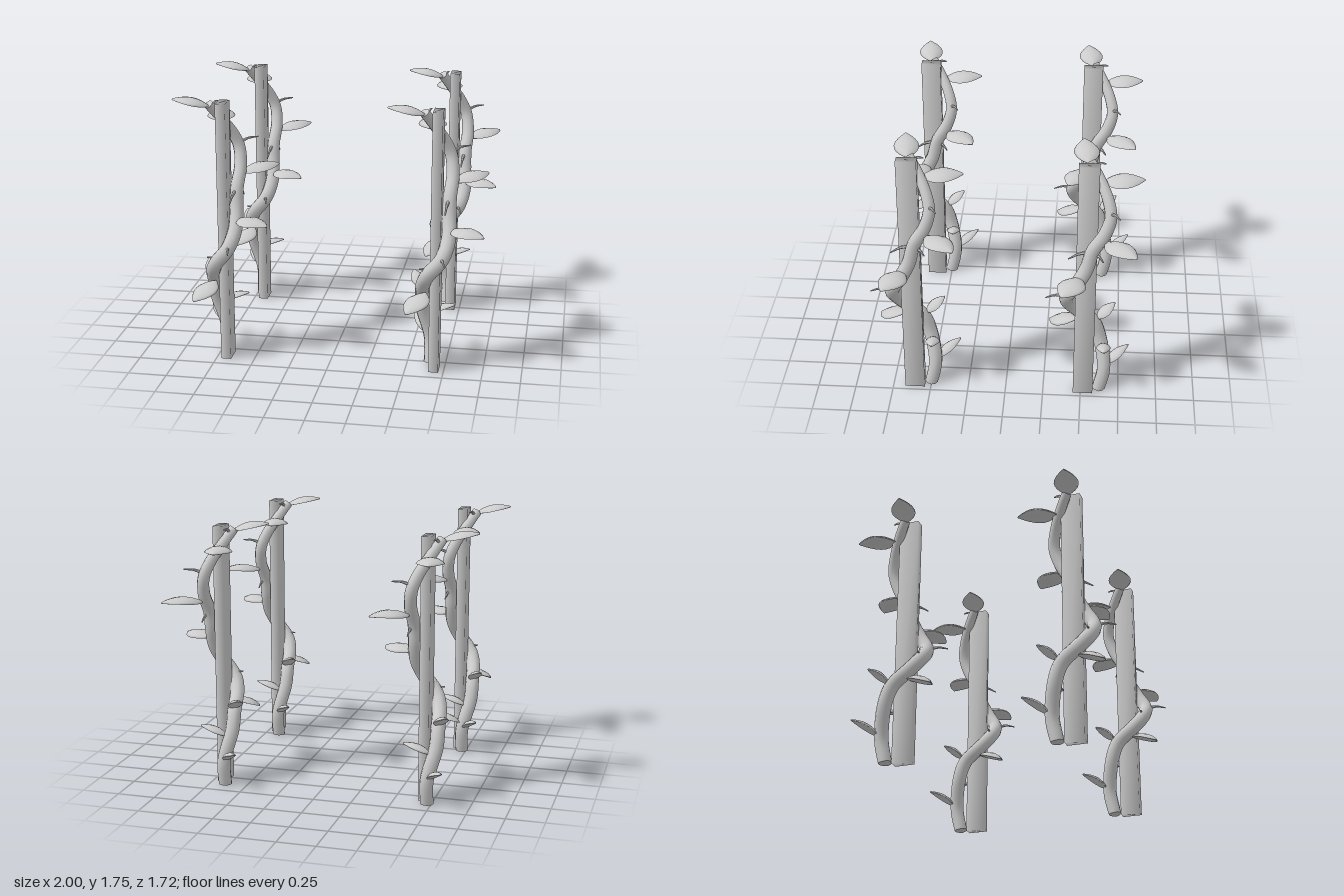
import * as THREE from 'three';
import { mergeVertices, toCreasedNormals } from 'three/addons/utils/BufferGeometryUtils.js';

const material = new THREE.MeshStandardMaterial({ color: 0xcccccc });
const V = (p) => new THREE.Vector3(...p);

function part(name, geometry) {
  const mesh = new THREE.Mesh(geometry, material);
  mesh.name = name;
  return mesh;
}

// Closed tube whose radius follows a rule along its length (t from 0 to 1)
function taperedTube(points, radiusAt, segments, sides) {
  const curve = new THREE.CatmullRomCurve3(points.map(V));
  const geo = new THREE.TubeGeometry(curve, segments, 1, sides);
  const pos = geo.attributes.position;
  const v = new THREE.Vector3();
  for (let i = 0; i < pos.count; i++) {
    const ring = Math.floor(i / (sides + 1));
    const own = curve.getPointAt(ring / segments);
    // the two outermost rings at each end form a flat cap
    const at = ring <= 1 ? 0 : ring >= segments - 1 ? 1 : ring / segments;
    const r = ring === 0 || ring === segments ? 0 : radiusAt(at);
    v.fromBufferAttribute(pos, i).sub(own).multiplyScalar(r).add(curve.getPointAt(at));
    pos.setXYZ(i, v.x, Math.max(0, v.y), v.z);
  }
  geo.deleteAttribute('uv');
  return toCreasedNormals(geo, 0.9);
}

// Pointed leaf blade: a flattened ball, arched along its length with drooping sides
function leafGeometry(base, tip, width) {
  const a = V(base);
  const along = V(tip).sub(a);
  const length = along.length();
  const z = along.clone().normalize();
  const x = new THREE.Vector3(0, 1, 0).cross(z).normalize();
  const y = z.clone().cross(x);
  const geo = new THREE.SphereGeometry(1, 12, 12);
  geo.rotateX(Math.PI / 2);
  const pos = geo.attributes.position;
  for (let i = 0; i < pos.count; i++) {
    const t = (pos.getZ(i) + 1) / 2;
    const ring = Math.max(1e-4, Math.sqrt(Math.max(0, 1 - pos.getZ(i) ** 2)));
    const side = pos.getX(i) / ring;
    const outline = Math.pow(Math.max(0, Math.sin(Math.PI * Math.pow(t, 0.9))), 0.85);
    const px = side * outline * width / 2;
    const py = (pos.getY(i) / ring) * (0.005 + 0.009 * outline)
      + 0.09 * length * Math.sin(Math.PI * t)
      - 0.14 * width * side * side * outline;
    pos.setXYZ(i, px, py, t * length);
  }
  geo.applyMatrix4(new THREE.Matrix4().makeBasis(x, y, z).setPosition(a));
  geo.computeVertexNormals();
  return geo;
}

// Thin pointed shoot that bends slightly upward
function twigGeometry(base, tip) {
  const mid = base.map((b, k) => (b + tip[k]) / 2 + (k === 1 ? 0.012 : 0));
  return taperedTube([base, mid, tip], (t) => 0.013 - 0.009 * t, 8, 6);
}

function createPost() {
  const post = new THREE.Group();
  post.name = 'vinePost';

  // Square-edged upright with softened shading
  let box = new THREE.BoxGeometry(0.065, 1.72, 0.13);
  box.deleteAttribute('normal');
  box.deleteAttribute('uv');
  box = mergeVertices(box);
  box.computeVertexNormals();
  box.translate(-0.685, 0.86, 0.605);
  post.add(part('upright', box));

  // Main vine stem winding once around the upright
  const path = [
    [-0.72, 0, 0.5], [-0.725, 0.17, 0.47], [-0.775, 0.38, 0.505],
    [-0.775, 0.5, 0.55], [-0.76, 0.6, 0.65], [-0.725, 0.68, 0.71],
    [-0.64, 0.79, 0.725], [-0.605, 0.9, 0.665], [-0.607, 1.02, 0.605],
    [-0.61, 1.15, 0.57], [-0.6, 1.28, 0.5], [-0.615, 1.4, 0.465],
    [-0.655, 1.5, 0.485], [-0.72, 1.61, 0.54], [-0.775, 1.7, 0.6],
  ];
  post.add(part('vineStem', taperedTube(path,
    (t) => 0.044 + 0.009 * Math.sin(Math.PI * t) - 0.012 * t, 70, 10)));

  // Leaves: base, tip, width
  const leaves = [
    [[-0.73, 1.58, 0.52], [-0.76, 1.59, 0.26], 0.18],
    [[-0.595, 1.23, 0.49], [-0.385, 1.25, 0.3], 0.17],
    [[-0.595, 0.96, 0.64], [-0.375, 0.955, 0.755], 0.18],
    [[-0.74, 0.54, 0.66], [-0.85, 0.455, 0.84], 0.17],
    [[-0.77, 1.69, 0.61], [-1.0, 1.735, 0.645], 0.16],
    [[-0.775, 0.52, 0.53], [-0.85, 0.605, 0.41], 0.1],
    [[-0.745, 0.34, 0.48], [-0.565, 0.4, 0.475], 0.095],
    [[-0.74, 0.18, 0.46], [-0.85, 0.27, 0.31], 0.085],
  ];
  leaves.forEach(([base, tip, width]) => post.add(part('leaf', leafGeometry(base, tip, width))));

  // Bare shoots: base, tip
  const twigs = [
    [[-0.62, 1.42, 0.47], [-0.5, 1.455, 0.41]],
    [[-0.615, 1.14, 0.59], [-0.625, 1.08, 0.72]],
    [[-0.6, 1.14, 0.56], [-0.58, 1.09, 0.5]],
    [[-0.64, 0.79, 0.74], [-0.61, 0.79, 0.86]],
    [[-0.71, 0.69, 0.71], [-0.78, 0.72, 0.72]],
    [[-0.76, 1.68, 0.57], [-0.74, 1.705, 0.505]],
  ];
  twigs.forEach(([base, tip]) => post.add(part('twig', twigGeometry(base, tip))));
  return post;
}

export function createModel() {
  const model = new THREE.Group();
  model.name = 'vinePosts';
  // Four identical posts at the corners of a rectangle
  const post = createPost();
  for (const x of [0, 1.37]) {
    for (const z of [0, -1.12]) {
      const copy = post.clone();
      copy.position.set(x, 0, z);
      model.add(copy);
    }
  }
  return model;
}
